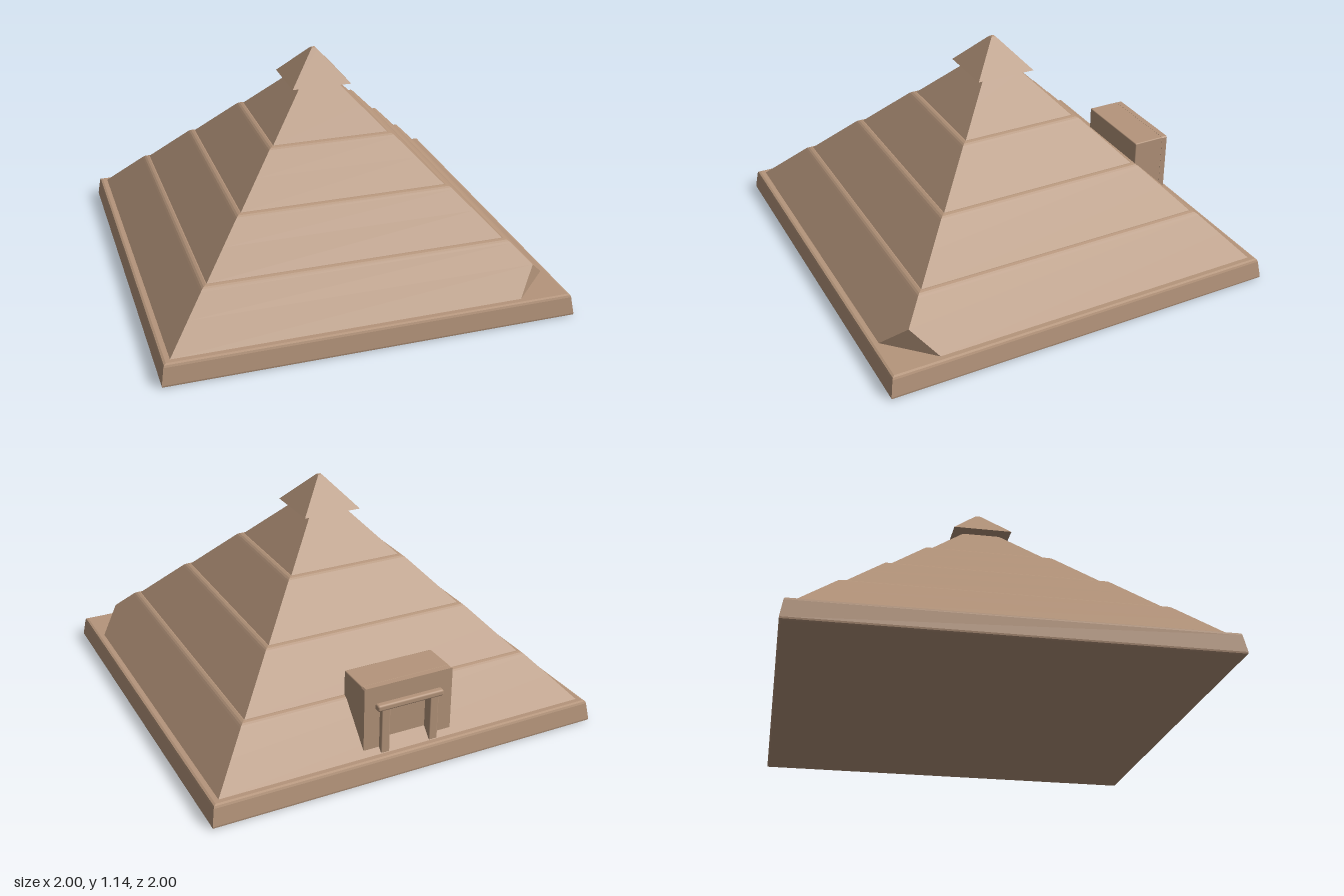
import * as THREE from 'three';
import { RoundedBoxGeometry } from 'three/addons/geometries/RoundedBoxGeometry.js';

const stone = new THREE.MeshStandardMaterial({ color: 0xb5957b });
stone.name = 'sandstone';

// Square ring of half-width h; the +x +z corner is cut off where x + z exceeds cut.
function ring([h, y], cut) {
  const k = Math.min(h, cut - h);
  return [[h, -h], [-h, -h], [-h, h], [k, h], [h, k]]
    .map(([x, z]) => new THREE.Vector3(x, y, z));
}

// Closed solid through square cross-sections, listed from bottom to top.
function squareLoft(profile, cut = Infinity) {
  const rings = profile.map((p) => ring(p, cut));
  const pos = [];
  const area = new THREE.Triangle();
  const tri = (a, b, c) => {
    if (area.set(a, b, c).getArea() > 1e-9) for (const v of [a, b, c]) pos.push(v.x, v.y, v.z);
  };
  for (let i = 0; i < rings.length - 1; i++) {
    const lo = rings[i], hi = rings[i + 1];
    for (let j = 0; j < 5; j++) {
      const n = (j + 1) % 5;
      tri(lo[j], lo[n], hi[n]);
      tri(lo[j], hi[n], hi[j]);
    }
  }
  const bottom = rings[0], top = rings[rings.length - 1];
  for (let j = 1; j < 4; j++) {
    tri(bottom[0], bottom[j + 1], bottom[j]);
    tri(top[0], top[j], top[j + 1]);
  }
  const geo = new THREE.BufferGeometry();
  geo.setAttribute('position', new THREE.Float32BufferAttribute(pos, 3));
  geo.computeVertexNormals();
  return geo;
}

export function createModel() {
  const model = new THREE.Group();
  model.name = 'steppedPyramid';
  const add = (name, geo, x = 0, y = 0, z = 0, parent = model) => {
    const mesh = new THREE.Mesh(geo, stone);
    mesh.name = name;
    mesh.position.set(x, y, z);
    parent.add(mesh);
    return mesh;
  };

  // Plinth with slightly leaning sides and softened edges
  add('plinth', squareLoft([
    [0.992, 0], [0.999, 0.004], [1, 0.012], [0.987, 0.095], [0.983, 0.105], [0.973, 0.109],
  ]));

  // Four sloping tiers with worn upper edges; the lowest has a chipped corner
  for (let i = 0; i < 4; i++) {
    const h = 0.95 - 0.22 * i;
    const y = 0.109 + 0.218 * i;
    add('tier' + (i + 1), squareLoft([
      [h, y], [h - 0.105, y + 0.113], [h - 0.186, y + 0.2],
      [h - 0.194, y + 0.208], [h - 0.203, y + 0.214], [h - 0.215, y + 0.218],
    ], i === 0 ? 1.69 : Infinity));
  }

  // Overhanging capstone
  add('capstone', squareLoft([
    [0.15, 0.978], [0.017, 1.126], [0.01, 1.133], [0.003, 1.136],
  ]));

  // Entrance at the back, with a shallow door recess
  const entrance = new THREE.Group();
  entrance.name = 'entrance';
  model.add(entrance);
  add('entranceBlock', new RoundedBoxGeometry(0.46, 0.35, 0.17, 2, 0.006), 0, 0.28, -0.815, entrance);

  const front = new THREE.Shape();
  front.moveTo(-0.23, 0.105).lineTo(-0.105, 0.105).lineTo(-0.105, 0.335).lineTo(0.105, 0.335)
    .lineTo(0.105, 0.105).lineTo(0.23, 0.105).lineTo(0.23, 0.449).lineTo(0.224, 0.455)
    .lineTo(-0.224, 0.455).lineTo(-0.23, 0.449);
  add('doorSurround', new THREE.ExtrudeGeometry(front, { depth: 0.03, bevelEnabled: false }),
    0, 0, -0.927, entrance);

  // Door posts and lintel
  for (const side of [-1, 1]) {
    add(side > 0 ? 'leftPost' : 'rightPost', new RoundedBoxGeometry(0.045, 0.24, 0.04, 2, 0.006),
      side * 0.127, 0.225, -0.928, entrance);
  }
  add('lintel', new RoundedBoxGeometry(0.345, 0.032, 0.045, 3, 0.01), 0, 0.351, -0.932, entrance);

  return model;
}
